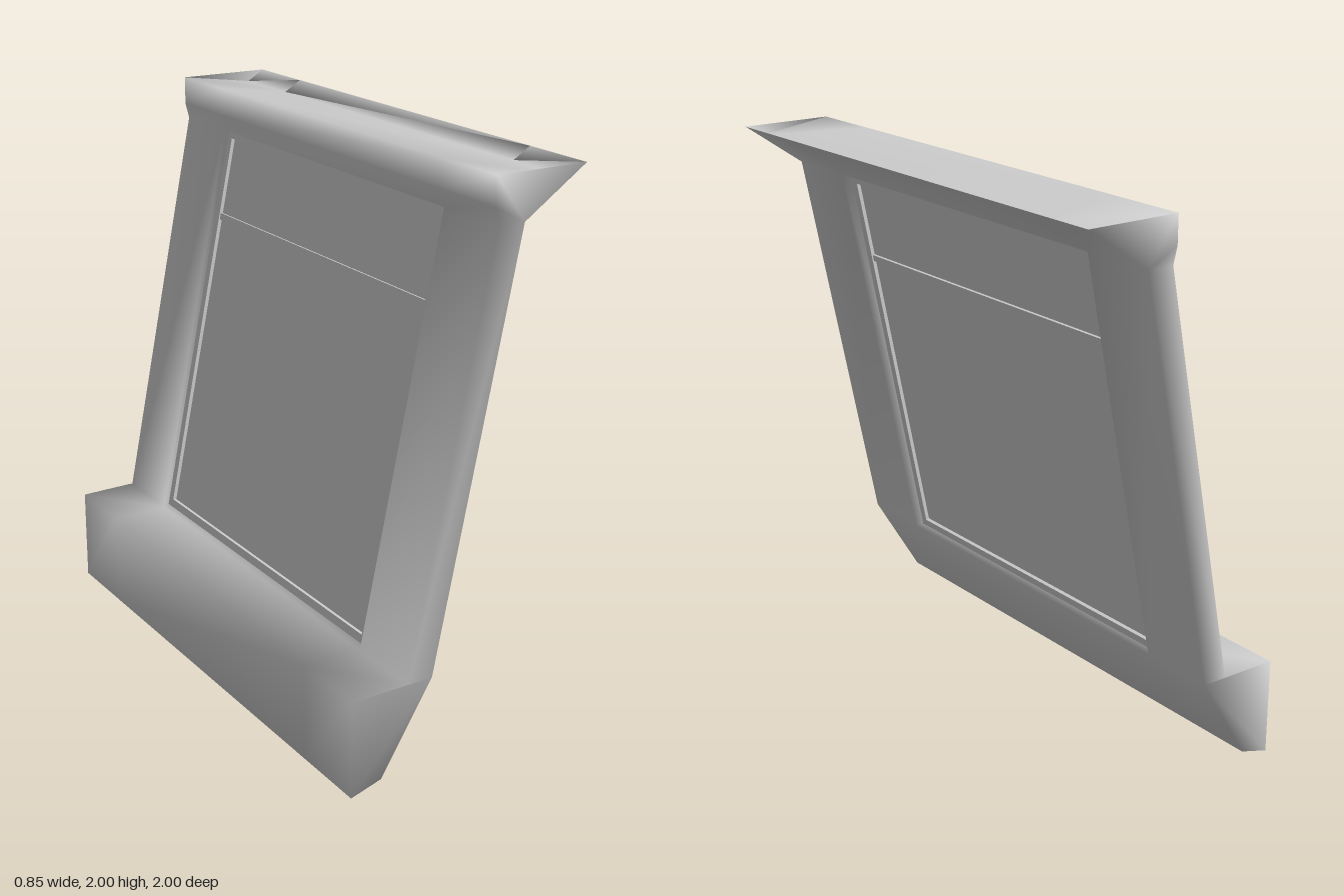
import * as THREE from 'three';

// Clockwise section of the leaning wall: top ledge, front, sill, back
const PROFILE = [
  [0.075, 2], [0.36, 1.96], [0.425, 2], [0.19, 1.84], [-0.115, 0.355], [-0.31, 0.035],
  [-0.425, 0], [-0.425, 0.35], [-0.21, 0.352], [0.09, 1.84], [0.075, 1.9],
];
const STATIONS = [-1, -0.715, 0.715, 1];
const FRONT = 3, BACK = 8; // profile edges pierced by the window opening

function wallGeometry() {
  const n = PROFILE.length;
  const pos = [], idx = [];
  for (const z of STATIONS) for (const [x, y] of PROFILE) pos.push(x, y, z);
  const v = (s, i) => s * n + i;
  const quad = (a, b, c, d) => idx.push(a, b, c, a, c, d);
  const strip = (s, i, j) => quad(v(s, i), v(s + 1, i), v(s + 1, j), v(s, j));

  // Outer skin, leaving the opening free
  for (let s = 0; s < 3; s++) {
    for (let i = 0; i < n; i++) {
      if (s === 1 && (i === FRONT || i === BACK)) continue;
      strip(s, i, (i + 1) % n);
    }
  }
  // Reveals of the opening: top, bottom and both sides
  strip(1, 3, 9);
  strip(1, 8, 4);
  quad(v(1, 9), v(1, 8), v(1, 4), v(1, 3));
  quad(v(2, 3), v(2, 4), v(2, 8), v(2, 9));

  // End caps
  const cap = [[3, 9, 10], [3, 10, 0], [3, 0, 2], [3, 4, 8], [3, 8, 9], [4, 5, 6], [4, 6, 7], [4, 7, 8]];
  for (const [a, b, c] of cap) {
    idx.push(v(0, a), v(0, b), v(0, c));
    idx.push(v(3, a), v(3, c), v(3, b));
  }
  const geo = new THREE.BufferGeometry();
  geo.setAttribute('position', new THREE.Float32BufferAttribute(pos, 3));
  geo.setIndex(idx);
  geo.computeVertexNormals();
  return geo;
}

export function createModel() {
  const model = new THREE.Group();
  model.name = 'leaningWindowWall';
  const mat = new THREE.MeshStandardMaterial({ color: 0xcccccc, side: THREE.DoubleSide });

  const wall = new THREE.Mesh(wallGeometry(), mat);
  wall.name = 'wallFrame';
  model.add(wall);

  // Window, built upright and tilted with the wall
  const win = new THREE.Group();
  win.name = 'window';
  win.position.set(-0.02, 1.097, 0);
  win.rotation.z = -Math.atan(0.203);
  model.add(win);
  const H = 1.51, W = 1.43, T = 0.03;
  const box = (name, w, h, d, y, z) => {
    const m = new THREE.Mesh(new THREE.BoxGeometry(w, h, d), mat);
    m.name = name;
    m.position.set(0, y, z);
    win.add(m);
  };
  box('pane', 0.012, H - T, W - T, 0, 0);
  box('crossBar', 0.03, 0.025, W - 2 * T, 0.425, 0);
  for (const s of [-1, 1]) {
    box(s > 0 ? 'topRail' : 'bottomRail', 0.04, T, W, s * (H - T) / 2, 0);
    box(s > 0 ? 'leftStile' : 'rightStile', 0.04, H - 2 * T, T, 0, s * (W - T) / 2);
  }
  return model;
}
